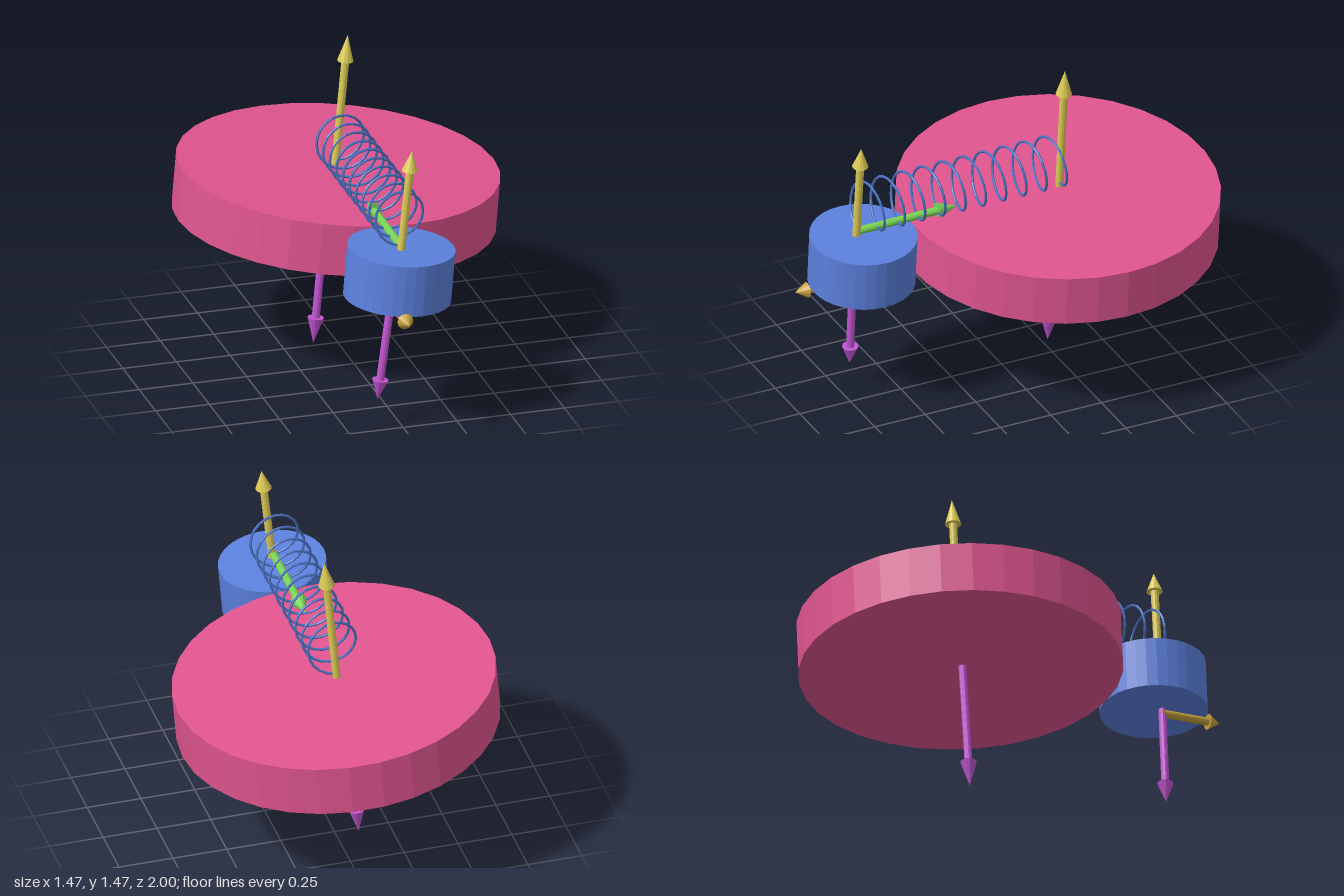
import * as THREE from 'three';

const TILT = -0.083;
const UP = new THREE.Vector3(0, 1, 0);

function paint(color) {
  return new THREE.MeshStandardMaterial({ color, flatShading: true });
}

// Flat round disc, leaning slightly sideways
function disc(name, radius, z, color) {
  const mesh = new THREE.Mesh(new THREE.CylinderGeometry(radius, radius, 0.24, 32), paint(color));
  mesh.name = name;
  mesh.position.set(0, 0.73, z);
  mesh.rotation.z = TILT;
  return mesh;
}

// Arrow from one point to another: the head takes a fifth of the length
function arrow(name, from, to, color) {
  const start = new THREE.Vector3(...from);
  const dir = new THREE.Vector3(...to).sub(start);
  const length = dir.length();
  const material = paint(color);

  const shaft = new THREE.Mesh(new THREE.CylinderGeometry(0.018, 0.018, length * 0.8, 12), material);
  shaft.name = 'shaft';
  shaft.position.y = length * 0.4;

  const head = new THREE.Mesh(new THREE.ConeGeometry(0.037, length * 0.2, 12), material);
  head.name = 'head';
  head.position.y = length * 0.9;

  const group = new THREE.Group();
  group.name = name;
  group.add(shaft, head);
  group.position.copy(start);
  group.quaternion.setFromUnitVectors(UP, dir.normalize());
  return group;
}

// Helix that runs from the small disc to the large one
class Helix extends THREE.Curve {
  getPoint(t, target = new THREE.Vector3()) {
    const a = t * 10 * Math.PI * 2;
    return target.set(0.007 - 0.118 * Math.sin(a), 0.987 - 0.118 * Math.cos(a), 0.718 - 1.003 * t);
  }
}

export function createModel() {
  const model = new THREE.Group();
  model.name = 'forceDiagram';

  // Two discs that touch at their rims
  model.add(disc('largeDisc', 0.726, -0.275, 0xe0558f));
  model.add(disc('smallDisc', 0.242, 0.69, 0x5b80dd));

  // Coil spring between the disc centres
  const spring = new THREE.Mesh(new THREE.TubeGeometry(new Helix(), 200, 0.006, 6), paint(0x4a70c0));
  spring.name = 'spring';
  model.add(spring);

  // Upward and downward arrows at each disc
  const yellow = 0xdccb55, purple = 0xc455d4;
  model.add(arrow('largeUpArrow', [0, 0.85, -0.285], [0.058, 1.47, -0.285], yellow));
  model.add(arrow('smallUpArrow', [0, 0.85, 0.72], [0.05, 1.32, 0.72], yellow));
  model.add(arrow('largeDownArrow', [-0.045, 0.61, -0.285], [-0.105, 0, -0.278], purple));
  model.add(arrow('smallDownArrow', [-0.045, 0.61, 0.715], [-0.105, 0.13, 0.703], purple));

  // Horizontal arrows on the small disc
  model.add(arrow('pullArrow', [-0.003, 0.868, 0.72], [-0.003, 0.873, 0.22], 0x78d455));
  model.add(arrow('frictionArrow', [-0.048, 0.59, 0.705], [-0.048, 0.6, 1], 0xc4a03c));

  return model;
}
